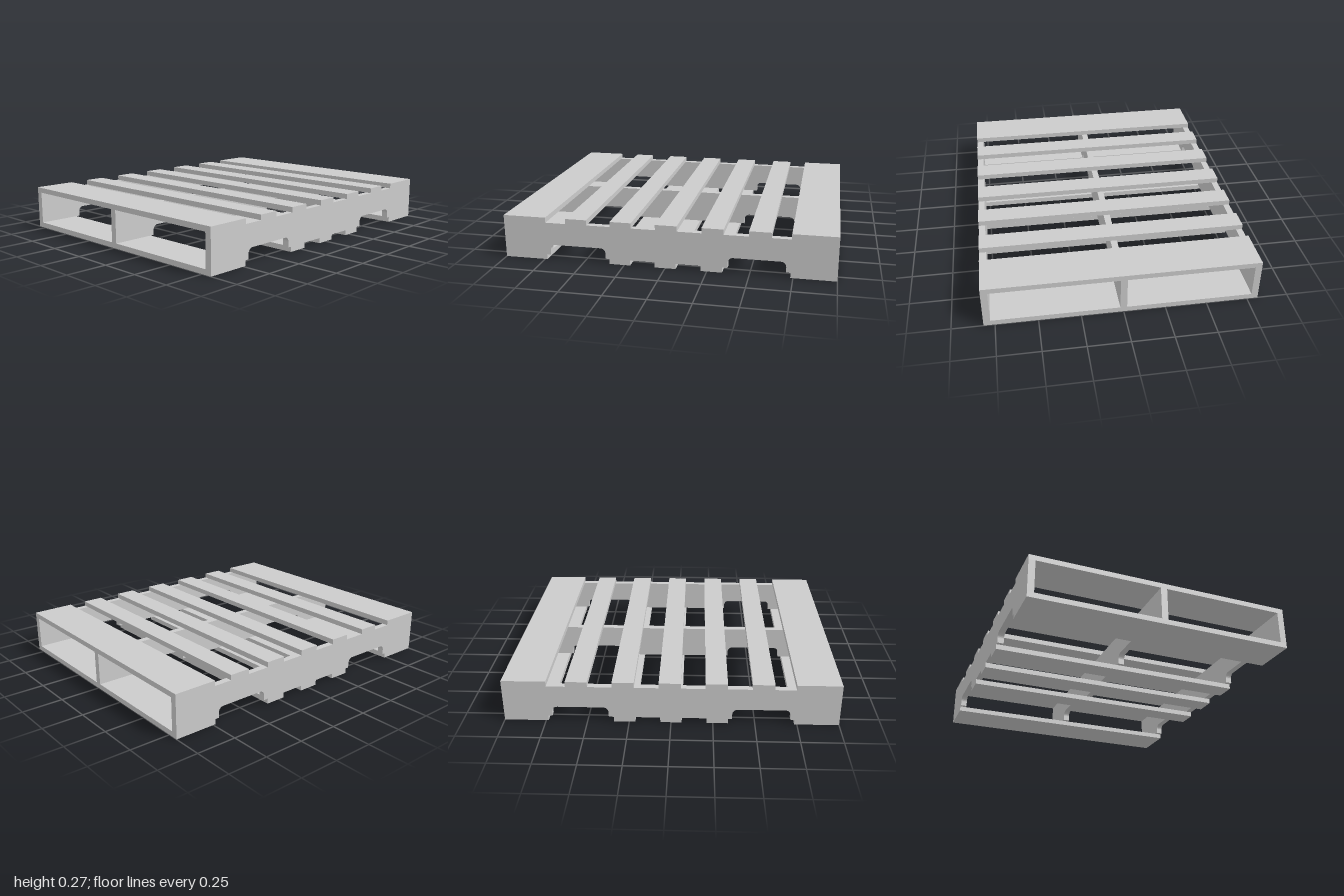
import * as THREE from 'three';

const HALF_W = 0.816, STRINGER_W = 0.04;
const BOTTOM = 0.032, TOP = 0.235, HEIGHT = 0.267;

// Side profile of a stringer: drawn as (z, y), with two round-cornered fork notches
function stringerGeometry() {
  const s = new THREE.Shape();
  const r = 0.032, notchTop = 0.096;
  s.moveTo(-1, BOTTOM);
  for (const [a, b] of [[-0.71, -0.372], [0.364, 0.71]]) {
    s.lineTo(a, BOTTOM);
    s.lineTo(a, notchTop - r);
    s.absarc(a + r, notchTop - r, r, Math.PI, Math.PI / 2, true);
    s.lineTo(b - r, notchTop);
    s.absarc(b - r, notchTop - r, r, Math.PI / 2, 0, true);
    s.lineTo(b, BOTTOM);
  }
  s.lineTo(1, BOTTOM);
  s.lineTo(1, TOP);
  s.lineTo(-1, TOP);
  s.closePath();
  const g = new THREE.ExtrudeGeometry(s, { depth: STRINGER_W, bevelEnabled: false, curveSegments: 6 });
  g.translate(0, 0, -STRINGER_W / 2);
  g.rotateY(-Math.PI / 2);
  return g;
}

export function createModel() {
  const model = new THREE.Group();
  model.name = 'pallet';
  const wood = new THREE.MeshStandardMaterial({ color: 0xcccccc });

  function board(name, z0, z1, y0, y1) {
    const m = new THREE.Mesh(new THREE.BoxGeometry(2 * HALF_W, y1 - y0, z1 - z0), wood);
    m.position.set(0, (y0 + y1) / 2, (z0 + z1) / 2);
    m.name = name;
    model.add(m);
  }

  // Three notched stringers running front to back
  const geometry = stringerGeometry();
  const side = HALF_W - STRINGER_W / 2;
  for (const [name, x] of [['rightStringer', -side], ['centreStringer', 0], ['leftStringer', side]]) {
    const m = new THREE.Mesh(geometry, wood);
    m.position.x = x;
    m.name = name;
    model.add(m);
  }

  // Wide end boards, top and bottom
  for (const [layer, y0, y1] of [['top', TOP, HEIGHT], ['bottom', 0, BOTTOM]]) {
    board(layer + 'FrontBoard', 0.734, 1, y0, y1);
    board(layer + 'BackBoard', -1, -0.735, y0, y1);
  }

  // Narrow boards: five on the deck, three underneath
  for (let i = -2; i <= 2; i++) {
    const z = -0.007 + i * 0.275;
    board('deckBoard', z - 0.065, z + 0.065, TOP, HEIGHT);
    if (Math.abs(i) < 2) {
      const zb = i * 0.277;
      board('bottomBoard', zb - 0.064, zb + 0.064, 0, BOTTOM);
    }
  }
  return model;
}
